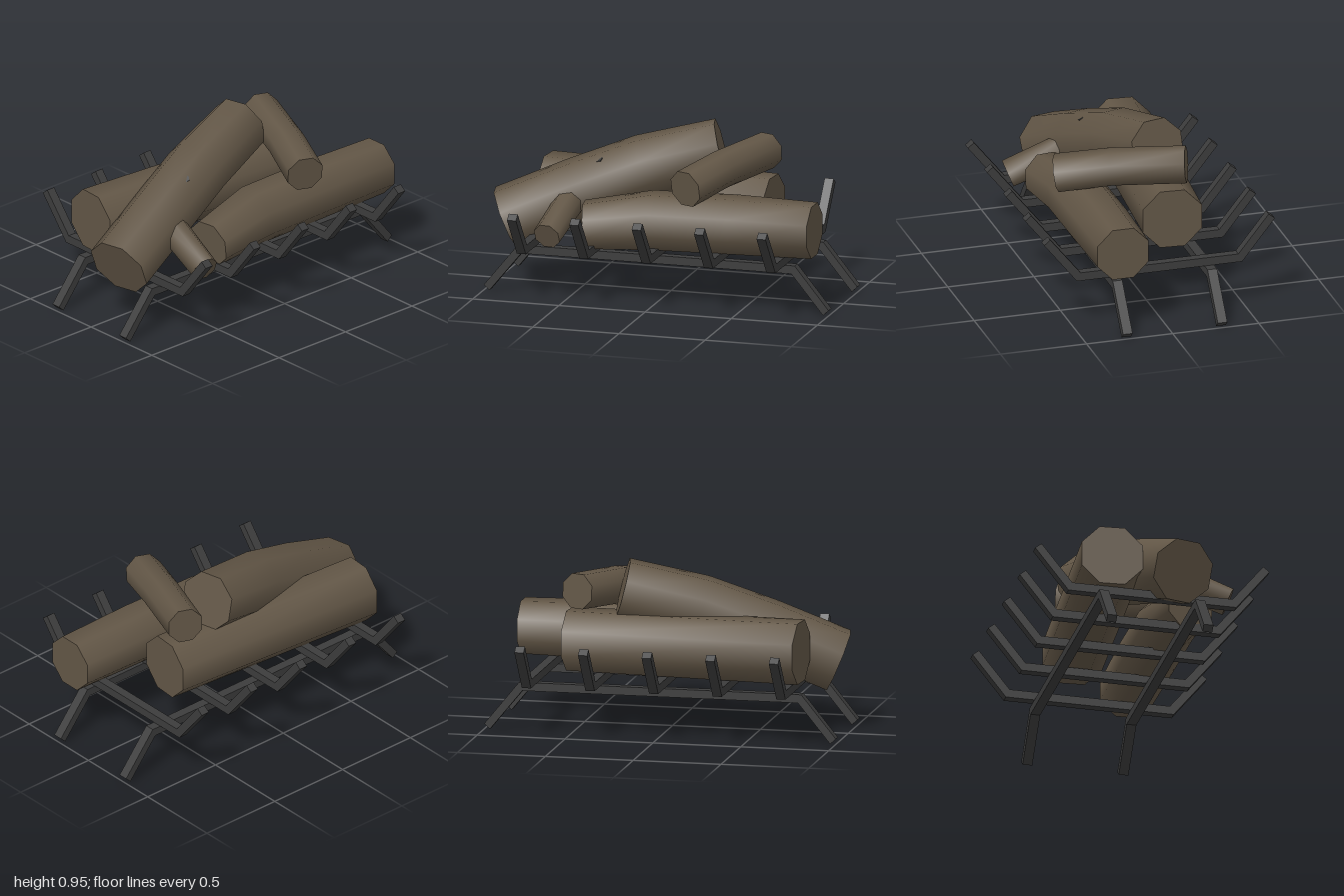
import * as THREE from 'three';

const iron = new THREE.MeshStandardMaterial({ color: 0x3c3c3c });
iron.name = 'iron';
const bark = new THREE.MeshStandardMaterial({ color: 0x625646 });
bark.name = 'bark';

const SIDES = 8;

// Eight-sided log swept along a few stations [x, y, z, apothem]: smooth bark, flat ends
function logGeometry(stations) {
  const points = stations.map(([x, y, z]) => new THREE.Vector3(x, y, z));
  const up = new THREE.Vector3(0, 1, 0);
  const pos = [];
  const index = [];
  const rings = points.map((p, i) => {
    const a = points[Math.max(i - 1, 0)];
    const b = points[Math.min(i + 1, points.length - 1)];
    const t = b.clone().sub(a).normalize();
    const u = up.clone().cross(t).normalize();
    const v = t.clone().cross(u);
    const r = stations[i][3] / Math.cos(Math.PI / SIDES);
    return Array.from({ length: SIDES }, (_, j) => {
      const angle = ((j + 0.5) / SIDES) * Math.PI * 2;
      return p.clone().addScaledVector(u, r * Math.cos(angle)).addScaledVector(v, r * Math.sin(angle));
    });
  });
  const push = (p) => pos.push(p.x, p.y, p.z) / 3 - 1;

  // Bark
  rings.forEach((ring) => ring.forEach(push));
  for (let i = 0; i < rings.length - 1; i++) {
    for (let j = 0; j < SIDES; j++) {
      const k = (j + 1) % SIDES;
      const a = i * SIDES + j, b = i * SIDES + k, c = a + SIDES, d = b + SIDES;
      index.push(a, b, c, b, d, c);
    }
  }
  // Sawn ends
  [0, rings.length - 1].forEach((i, end) => {
    const first = rings[i].map(push)[0];
    for (let j = 1; j < SIDES - 1; j++) {
      if (end) index.push(first, first + j, first + j + 1);
      else index.push(first, first + j + 1, first + j);
    }
  });

  const geo = new THREE.BufferGeometry();
  geo.setAttribute('position', new THREE.Float32BufferAttribute(pos, 3));
  geo.setIndex(index);
  geo.computeVertexNormals();
  return geo;
}

// Bent square bar: right half of the outline, mirrored, extruded and centred on its depth
function bentBar(half, depth) {
  const outline = [...half, ...half.map(([x, y]) => [-x, y]).reverse()];
  const shape = new THREE.Shape(outline.map(([x, y]) => new THREE.Vector2(x, y)));
  return new THREE.ExtrudeGeometry(shape, { depth, bevelEnabled: false }).translate(0, 0, -depth / 2);
}

export function createModel() {
  const model = new THREE.Group();
  model.name = 'firewoodGrate';
  const add = (name, geometry, material, parent = model) => {
    const mesh = new THREE.Mesh(geometry, material);
    mesh.name = name;
    parent.add(mesh);
    return mesh;
  };

  // Grate: two long rails with splayed feet, five crossbars with raised ends
  const grate = new THREE.Group();
  grate.name = 'grate';
  model.add(grate);

  const railGeo = bentBar([[0.784, 0.225], [0.968, 0], [1, 0.03], [0.803, 0.272]], 0.055).rotateY(Math.PI / 2);
  for (const x of [-0.29, 0.26]) add('rail', railGeo, iron, grate).position.x = x;

  const barGeo = bentBar([[0.48, 0.274], [0.67, 0.512], [0.634, 0.541], [0.458, 0.322]], 0.052);
  for (let i = -2; i <= 2; i++) add('crossbar', barGeo, iron, grate).position.z = i * 0.362;

  // Logs
  const logs = {
    leftLog: [[-0.238, 0.497, 0.785, 0.172], [-0.135, 0.495, -0.555, 0.168]],
    rightLog: [[0.305, 0.425, 0.4, 0.128], [0.255, 0.465, 0.03, 0.156], [0.258, 0.476, -0.45, 0.156],
      [0.26, 0.476, -0.91, 0.148]],
    leaningLog: [[0.135, 0.385, 0.915, 0.17], [0.05, 0.55, 0.53, 0.17], [-0.04, 0.69, 0.17, 0.168],
      [-0.142, 0.8, -0.25, 0.158]],
    topBranch: [[-0.235, 0.785, -0.49, 0.097], [0.15, 0.757, -0.335, 0.098], [0.435, 0.705, -0.213, 0.1]],
    frontBranch: [[0.08, 0.55, 0.525, 0.08], [0.475, 0.385, 0.578, 0.073]],
  };
  for (const [name, stations] of Object.entries(logs)) add(name, logGeometry(stations), bark);

  // Small dark knot on the leaning log
  const knot = add('knot', new THREE.CylinderGeometry(0.024, 0.024, 0.03, 6), iron);
  knot.position.set(0.098, 0.742, 0.383);
  knot.quaternion.setFromUnitVectors(new THREE.Vector3(0, 1, 0), new THREE.Vector3(0.52, 0.78, 0.33).normalize());

  return model;
}
